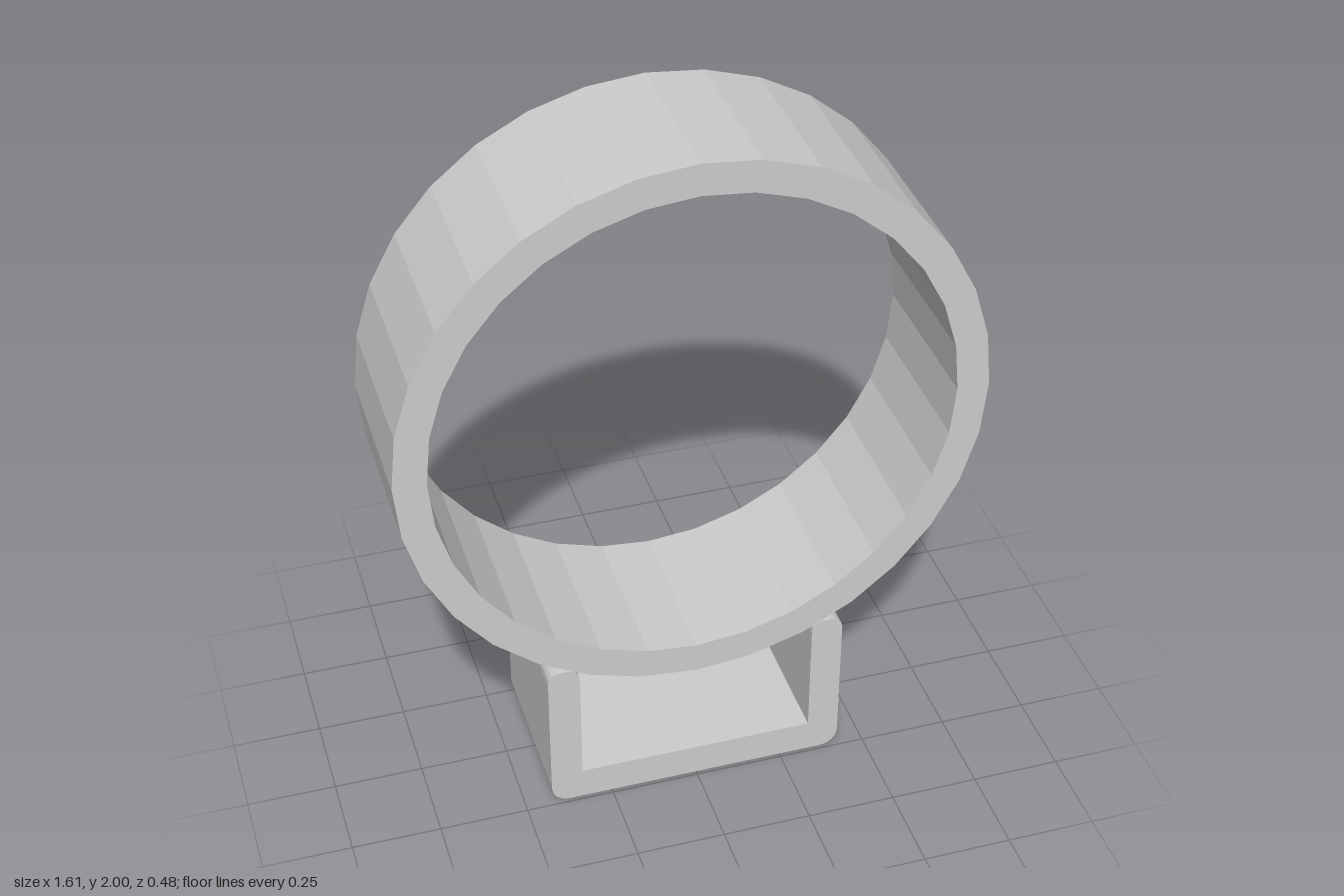
import * as THREE from 'three';

const DEPTH = 0.476;

// Extrude a flat outline along z, centred on z = 0
function slab(name, shape, material, curveSegments) {
  const geometry = new THREE.ExtrudeGeometry(shape, { depth: DEPTH, bevelEnabled: false, curveSegments });
  geometry.translate(0, 0, -DEPTH / 2);
  const mesh = new THREE.Mesh(geometry, material);
  mesh.name = name;
  return mesh;
}

// Points of a regular polygon with a vertex on the +x axis
function circlePoints(radius, y, sides) {
  return Array.from({ length: sides }, (_, i) => {
    const a = (i / sides) * Math.PI * 2;
    return new THREE.Vector2(radius * Math.cos(a), y + radius * Math.sin(a));
  });
}

export function createModel() {
  const group = new THREE.Group();
  group.name = 'ringOnStand';

  const grey = new THREE.MeshStandardMaterial({ color: 0xcccccc });
  grey.name = 'light grey';

  // Upright 32-sided ring
  const ringShape = new THREE.Shape(circlePoints(0.806, 1.194, 32));
  ringShape.holes.push(new THREE.Path(circlePoints(0.716, 1.194, 32)));
  group.add(slab('ring', ringShape, grey, 1));

  // U-shaped cradle with rounded lower corners and arm tips
  const outer = 0.425, inner = 0.335, top = 0.475, floor = 0.095;
  const foot = 0.05, tip = 0.036, q = Math.PI / 2;
  const cradle = new THREE.Shape();
  cradle.moveTo(-outer + foot, 0);
  cradle.absarc(outer - foot, foot, foot, -q, 0, false);
  cradle.absarc(outer - tip, top - tip, tip, 0, q, false);
  cradle.absarc(inner + tip, top - tip, tip, q, 2 * q, false);
  cradle.lineTo(inner, floor);
  cradle.lineTo(-inner, floor);
  cradle.absarc(-inner - tip, top - tip, tip, 0, q, false);
  cradle.absarc(-outer + tip, top - tip, tip, q, 2 * q, false);
  cradle.absarc(-outer + foot, foot, foot, 2 * q, 3 * q, false);
  group.add(slab('cradle', cradle, grey, 2));

  return group;
}
